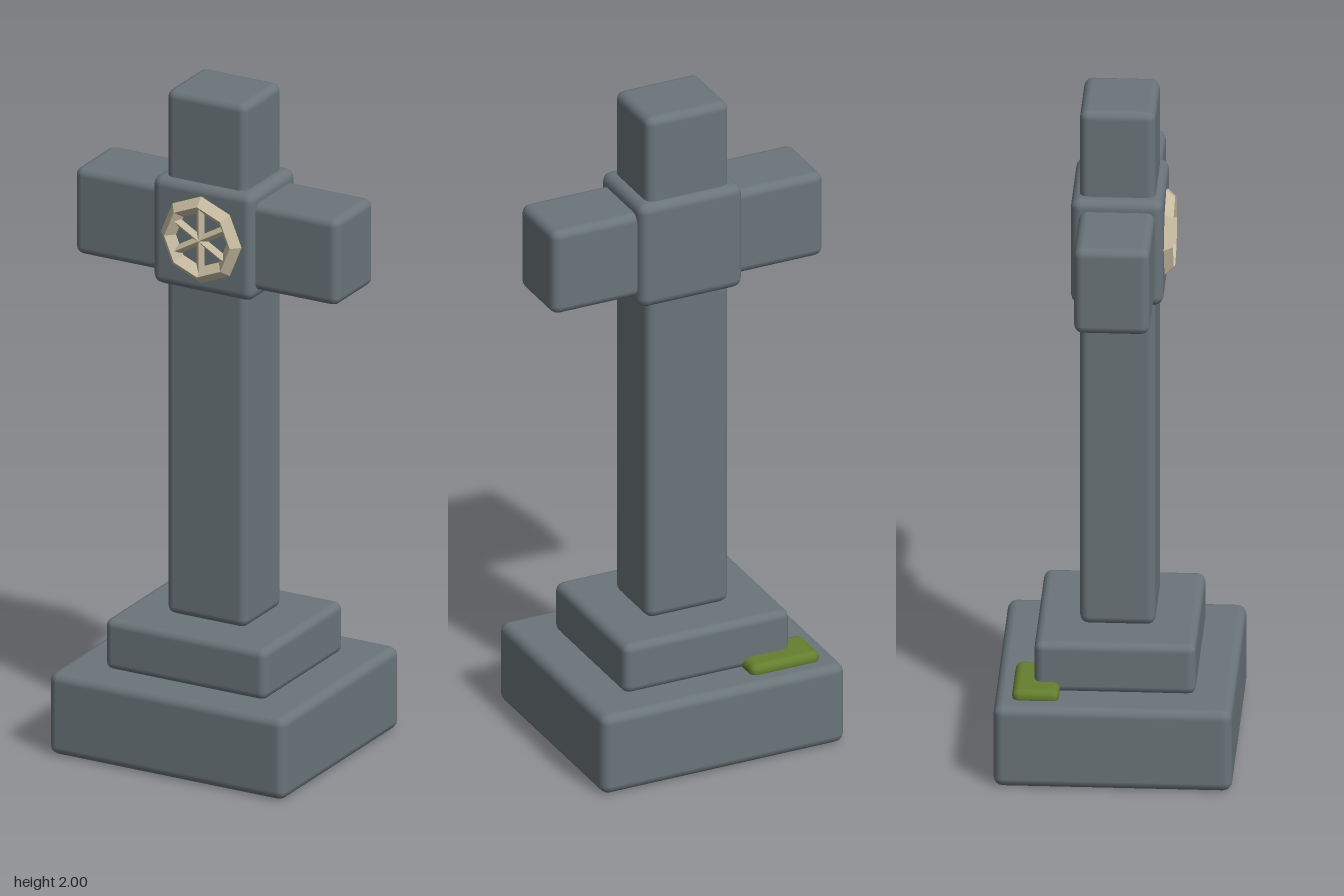
import * as THREE from 'three';
import { RoundedBoxGeometry } from 'three/addons/geometries/RoundedBoxGeometry.js';

export function createModel() {
  const model = new THREE.Group();
  model.name = 'stoneCross';

  const material = (name, color, flatShading = false) => {
    const m = new THREE.MeshStandardMaterial({ color, flatShading });
    m.name = name;
    return m;
  };
  const stone = material('greyStone', 0x6a757a);
  const moss = material('mossGreen', 0x647f2e);
  const pale = material('paleStone', 0xc9bda2, true);

  const add = (parent, name, geometry, mat, x, y, z) => {
    const mesh = new THREE.Mesh(geometry, mat);
    mesh.name = name;
    mesh.position.set(x, y, z);
    parent.add(mesh);
    return mesh;
  };
  // Softly bevelled block given by its centre x, bottom, top and centre z
  const block = (name, w, d, bottom, top, radius = 0.022, mat = stone, x = 0, z = 0) =>
    add(model, name, new RoundedBoxGeometry(w, top - bottom, d, 2, radius), mat, x, (bottom + top) / 2, z);

  // Stepped plinth
  block('lowerStep', 0.77, 0.68, 0, 0.25, 0.027);
  block('upperStep', 0.526, 0.46, 0.245, 0.4, 0.024);

  // Cross
  block('shaft', 0.262, 0.216, 0.4, 2, 0.025);
  block('crossArms', 0.86, 0.216, 1.44, 1.705, 0.025);
  block('centreBlock', 0.328, 0.264, 1.41, 1.738, 0.028);

  // Moss patch on the back corner of the plinth
  block('mossPatch', 0.22, 0.134, 0.235, 0.28, 0.0215, moss, -0.221, -0.223);

  // Wheel emblem on the front
  const wheel = new THREE.Group();
  wheel.name = 'wheelEmblem';
  wheel.position.set(0, 1.575, 0.132);
  model.add(wheel);
  add(wheel, 'wheelRim', new THREE.TorusGeometry(0.107, 0.025, 4, 8), pale, 0, 0, 0);
  for (let i = 0; i < 3; i++) {
    const spoke = add(wheel, 'wheelSpoke', new THREE.CylinderGeometry(0.013, 0.013, 0.2, 4), pale, 0, 0, 0.003);
    spoke.rotation.z = (i * Math.PI) / 3;
  }

  return model;
}
